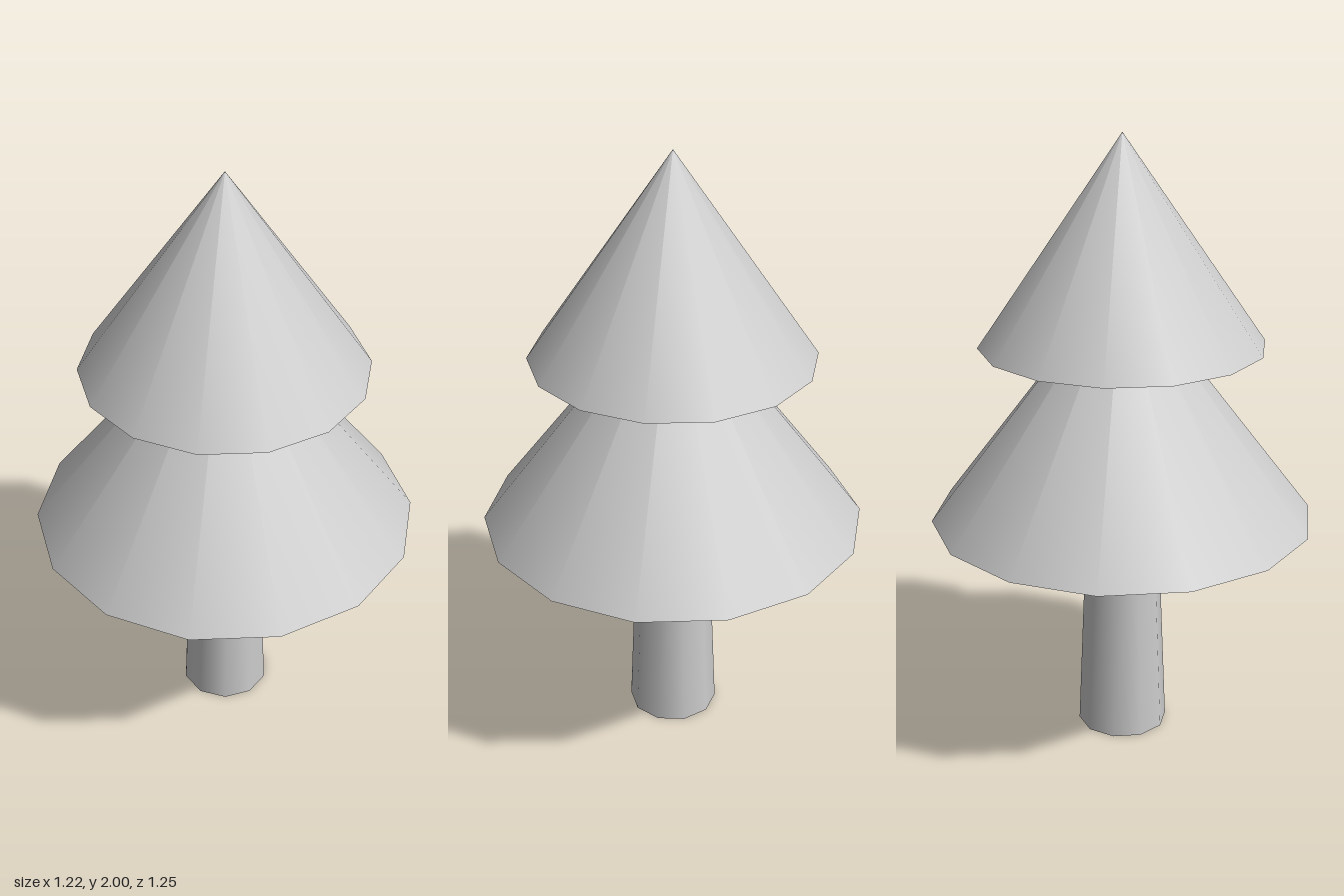
import * as THREE from 'three';

export function createModel() {
  const group = new THREE.Group();
  const material = new THREE.MeshStandardMaterial({ color: 0xcccccc });

  // Adds a solid standing between two heights
  const add = (name, geometry, bottom, top) => {
    const mesh = new THREE.Mesh(geometry, material);
    mesh.name = name;
    mesh.position.y = (bottom + top) / 2;
    group.add(mesh);
  };
  const addCone = (name, radius, bottom, top) =>
    add(name, new THREE.ConeGeometry(radius, top - bottom, 14), bottom, top);

  // Tapered ten-sided trunk, its top sunk into the foliage
  add('trunk', new THREE.CylinderGeometry(0.115, 0.149, 0.83, 10), 0, 0.83);

  // Two overlapping tiers of foliage
  addCone('lowerFoliage', 0.624, 0.757, 1.575);
  addCone('upperFoliage', 0.458, 1.337, 2);

  return group;
}
